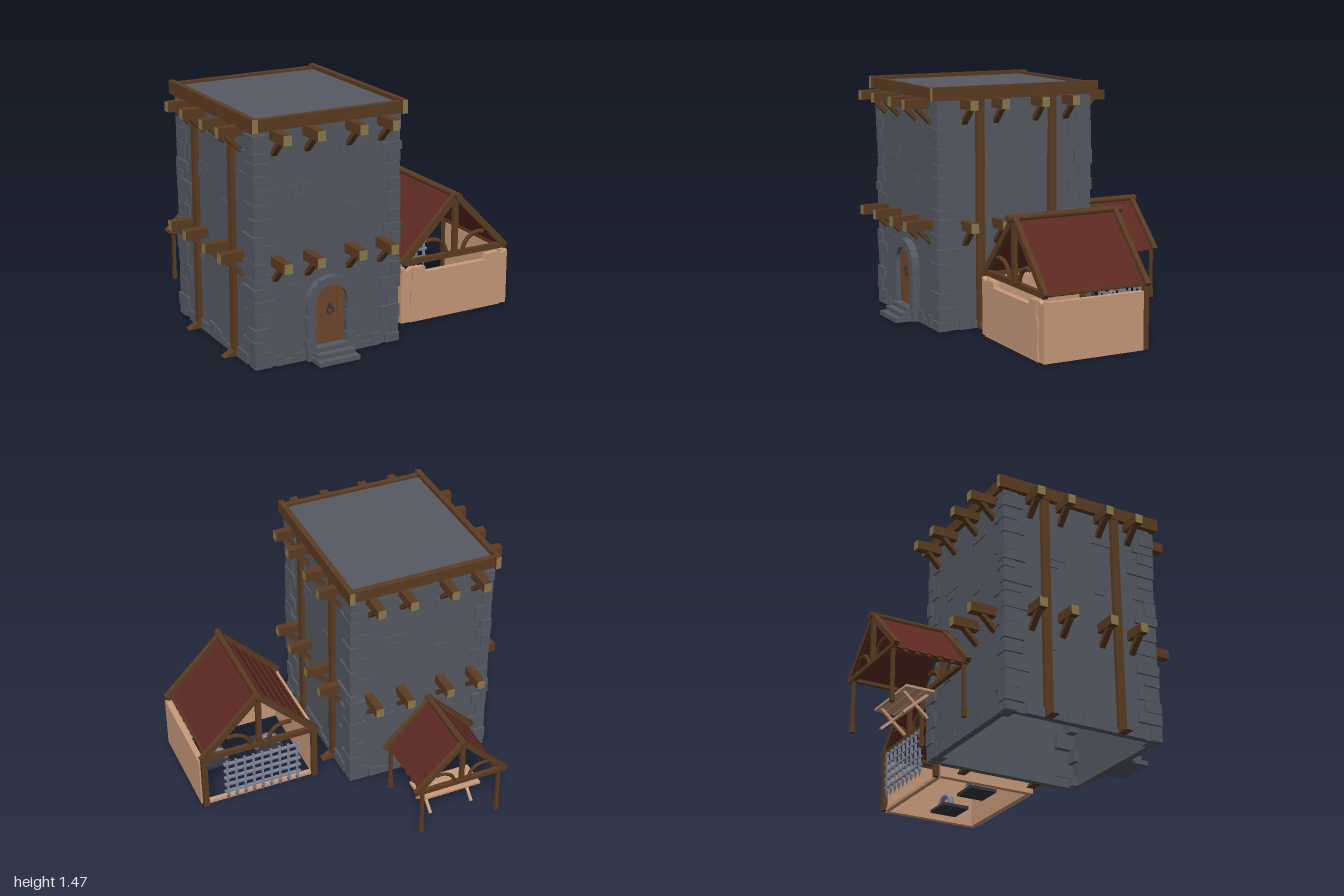
import * as THREE from 'three';

const paint = (name, color) => Object.assign(new THREE.MeshStandardMaterial({ color }), { name });
const M = {
  stone: paint('slate stone', 0x565a62),
  wood: paint('dark timber', 0x5c3c22),
  end: paint('cut timber end', 0x8c7b4c),
  door: paint('door wood', 0x70482a),
  red: paint('red shingle', 0x5e2a22),
  tan: paint('pale board', 0xc99b7b),
  steel: paint('steel', 0x80869a),
  iron: paint('black iron', 0x35363c),
};
const V = (x, y, z) => new THREE.Vector3(x, y, z);
let seed = 11;
const rnd = (a, b) => { seed = (seed * 16807) % 2147483647; return a + (b - a) * seed / 2147483647; };

function add(parent, name, geo, mat, x = 0, y = 0, z = 0) {
  const m = new THREE.Mesh(geo, mat);
  m.name = name;
  m.position.set(x, y, z);
  parent.add(m);
  return m;
}
const box = (p, name, mat, w, h, d, x, y, z) => add(p, name, new THREE.BoxGeometry(w, h, d), mat, x, y, z);
function bar(p, name, mat, a, b, w, d) {
  const dir = b.clone().sub(a);
  const m = box(p, name, mat, w, dir.length(), d, 0, 0, 0);
  m.position.copy(a).add(b).multiplyScalar(0.5);
  m.quaternion.setFromUnitVectors(V(0, 1, 0), dir.normalize());
  return m;
}
function plate(p, name, mat, pts, depth, z) {
  const s = new THREE.Shape(pts.map(q => new THREE.Vector2(q[0], q[1])));
  return add(p, name, new THREE.ExtrudeGeometry(s, { depth, bevelEnabled: false }), mat, 0, 0, z);
}
function group(parent, name, x = 0, y = 0, z = 0, ry = 0) {
  const g = new THREE.Group();
  g.name = name;
  g.position.set(x, y, z);
  g.rotation.y = ry;
  parent.add(g);
  return g;
}

// One tower face, outward is local +z
function towerSide(tower, name, angle, half, dist, reach, posts) {
  const g = group(tower, name, 0, 0, 0, angle);
  box(g, 'wall', M.stone, half * 2, 1.4, 0.03, 0, 0.7, dist - 0.015);
  for (const y of [1.36, 0.635]) for (const x of [-0.34, -0.133, 0.133, 0.34]) {
    box(g, 'joist', [M.wood, M.wood, M.wood, M.wood, M.end, M.wood], 0.05, 0.058, reach - dist + 0.02, x, y, (reach + dist - 0.02) / 2);
    bar(g, 'strut', M.wood, V(x, y - 0.115, dist), V(x, y - 0.025, dist + 0.09), 0.035, 0.025);
  }
  const bricks = [[-0.22, 1.03], [-0.14, 1.03], [-0.19, 0.98], [0.12, 1.215], [0.2, 1.215], [0.13, 0.88], [-0.22, 0.45]];
  for (const [x, y] of bricks) box(g, 'wallBrick', M.stone, 0.076, 0.046, 0.016, x, y, dist);
  for (let x = -half + 0.12; x < half - 0.12;) {
    const w = rnd(0.05, 0.1), h = rnd(0.03, 0.09);
    box(g, 'footingStone', M.stone, w - 0.004, h, 0.026, x + w / 2, h / 2, dist);
    x += w;
  }
  if (posts) for (const x of [-0.243, 0.243]) {
    box(g, 'post', M.wood, 0.05, 1.4, 0.03, x, 0.7, dist + 0.012);
    const foot = plate(g, 'postFoot', M.wood, [[0, 0], [0.09, 0], [0.02, 0.04], [0, 0.04]], 0.05, 0);
    foot.rotation.y = -Math.PI / 2;
    foot.position.set(x + 0.025, 0, dist);
  }
  return g;
}

function buildDoor(front, z) {
  const g = group(front, 'doorway', 0, 0, z);
  const spring = 0.34, r = 0.105;
  const arch = [[-r, 0.06], [r, 0.06]];
  for (let i = 0; i <= 12; i++) arch.push([r * Math.cos(i * Math.PI / 12), spring + r * Math.sin(i * Math.PI / 12)]);
  plate(g, 'doorBacking', M.iron, arch, 0.008, 0);
  // Planks follow the arch
  for (let i = 0; i < 4; i++) {
    const a = -0.1 + i * 0.05 + 0.002, b = a + 0.046, pts = [[a, 0.08], [b, 0.08]];
    for (let k = 0; k <= 4; k++) {
      const x = b + (a - b) * k / 4;
      pts.push([x, spring + Math.sqrt(Math.max(0, r * r - x * x))]);
    }
    plate(g, 'doorPlank', M.door, pts, 0.012, 0.006);
  }
  add(g, 'doorRing', new THREE.TorusGeometry(0.02, 0.005, 6, 14), M.iron, 0, 0.285, 0.026);
  box(g, 'ringPlate', M.iron, 0.02, 0.03, 0.01, 0, 0.308, 0.02);
  // Stone surround
  for (let i = 0; i < 9; i++) {
    const t = (i + 0.5) * Math.PI / 9;
    const m = box(g, 'archStone', M.stone, 0.05, 0.052, 0.05, 0.128 * Math.cos(t), spring + 0.128 * Math.sin(t), 0.022);
    m.rotation.z = t;
  }
  for (const s of [-1, 1]) for (let i = 0; i < 5; i++)
    box(g, 'jambStone', M.stone, 0.046 + (i % 2) * 0.012, 0.066, 0.05, s * 0.128, 0.034 + i * 0.068, 0.022);
  for (let i = 0; i < 3; i++)
    box(g, 'step', M.stone, 0.22 + (2 - i) * 0.02, 0.028, 0.15 - i * 0.04, 0, 0.014 + i * 0.028, (0.15 - i * 0.04) / 2);
}

function buildTower(root) {
  const t = group(root, 'tower', -0.4, 0, 0.222);
  const hx = 0.456, hz = 0.506;
  const front = towerSide(t, 'frontWall', 0, hx, hz, 0.678, false);
  towerSide(t, 'backWall', Math.PI, hx, hz, 0.675, false);
  towerSide(t, 'leftWall', Math.PI / 2, hz, hx, 0.6, true);
  towerSide(t, 'rightWall', -Math.PI / 2, hz, hx, 0.6, true);
  buildDoor(front, hz);
  box(t, 'flatRoof', M.stone, hx * 2, 0.05, hz * 2, 0, 1.415, 0);
  // Rim beams
  for (const s of [-1, 1]) {
    box(t, 'rimBeam', M.wood, 0.94, 0.07, 0.036, 0, 1.42, s * 0.518);
    box(t, 'rimBeam', [M.wood, M.wood, M.wood, M.wood, M.end, M.end], 0.034, 0.08, 1.11, s * 0.472, 1.424, 0);
  }
  // Corner stones
  for (const sx of [-1, 1]) for (const sz of [-1, 1]) {
    for (let y = 0, i = 0; y < 1.36; i++) {
      const h = Math.min(rnd(0.05, 0.11), 1.385 - y);
      const lx = i % 2 ? rnd(0.05, 0.08) : rnd(0.09, 0.13), lz = i % 2 ? rnd(0.12, 0.2) : rnd(0.07, 0.12);
      const o = rnd(0.008, 0.019);
      box(t, 'cornerStone', M.stone, lx, h - 0.005, lz, sx * (hx + o - lx / 2), y + h / 2, sz * (hz + o - lz / 2));
      y += h;
    }
  }
}

// Scalloped shingle slope, mirrored over a ridge along z
function shingles(parent, len, run, rise, ridgeY, rows) {
  const L = Math.hypot(run, rise), c = run / L, s = rise / L, n = Math.round(len / 0.07), w = len / n;
  for (const turn of [0, Math.PI]) {
    const half = group(parent, 'roofSlope', 0, ridgeY, 0, turn);
    const slope = group(half, 'shingleRows');
    slope.quaternion.setFromRotationMatrix(new THREE.Matrix4().makeBasis(V(0, 0, -1), V(-c, s, 0), V(s, c, 0)));
    for (let r = 0; r < rows; r++) {
      const top = -r * L / rows, low = top - L / rows;
      const pts = [[len / 2, top + 0.005], [-len / 2, top + 0.005]];
      for (let i = 0; i < n; i++) for (const [f, d] of [[0, 0.004], [0.25, -0.01], [0.5, -0.014], [0.75, -0.01]])
        pts.push([-len / 2 + (i + f) * w, low + d]);
      pts.push([len / 2, low + 0.004]);
      const m = plate(slope, 'shingleRow', M.red, pts, 0.012, 0);
      m.position.set(0, top * Math.cos(0.1) - top, -top * 0.1);
      m.rotation.x = 0.1;
    }
  }
}

// Gable truss in the xy plane
function truss(p, half, y0, y1, z, t) {
  const g = group(p, 'truss', 0, 0, z);
  box(g, 'tieBeam', M.wood, half * 2 - 0.06, t, 0.028, 0, y0 + t / 2, 0);
  box(g, 'kingPost', M.wood, t, y1 - y0, 0.024, 0, (y0 + y1) / 2, 0);
  for (const s of [-1, 1]) {
    bar(g, 'rafter', M.wood, V(s * (half - 0.01), y0 + 0.01, 0), V(0, y1, 0), t * 1.2, 0.03);
    const brace = add(g, 'curvedBrace', new THREE.TorusGeometry(half * 0.3, t * 0.42, 5, 10, Math.PI * 0.6), M.wood, s * half * 0.45, y0 + t / 2, 0);
    brace.rotation.y = s > 0 ? Math.PI : 0;
  }
}

function ridge(p, y, len) {
  const g = add(p, 'ridgeBeam', new THREE.CylinderGeometry(0.023, 0.023, len, 6), M.wood, 0, y, 0);
  g.rotation.x = Math.PI / 2;
}

function buildShed(root) {
  const g = group(root, 'shed', 0.605, 0, 0.185);
  shingles(g, 0.63, 0.345, 0.365, 0.742, 6);
  truss(g, 0.385, 0.365, 0.755, 0.328, 0.034);
  truss(g, 0.385, 0.365, 0.755, -0.328, 0.034);
  ridge(g, 0.757, 0.75);
  // Board walls with an uneven top
  const half = [[0.385, 0], [0.385, 0.35], [0.35, 0.33], [0.315, 0.35], [0.225, 0.345], [0.215, 0.31]];
  plate(g, 'frontWall', M.tan, [...half, ...half.map(([x, y]) => [-x, y]).reverse()], 0.03, 0.315);
  const inner = [[0.33, 0], [0.32, 0.08], [0.325, 0.2], [0.31, 0.27], [0.315, 0.345], [0.225, 0.345], [0.215, 0.31]];
  plate(g, 'frontPanel', M.tan, [...inner, ...inner.map(([x, y]) => [-x, y]).reverse()], 0.009, 0.345);
  for (const s of [-1, 1]) {
    box(g, 'sideWall', M.tan, 0.035, 0.345, 0.62, s * 0.367, 0.1725, 0.012);
    box(g, 'rearPost', M.wood, 0.035, 0.37, 0.03, s * 0.36, 0.185, -0.322);
    box(g, 'eaveBeam', M.wood, 0.025, 0.025, 0.65, s * 0.335, 0.378, 0);
  }
  box(g, 'sill', M.tan, 0.7, 0.02, 0.03, 0, 0.01, -0.3);
  // Hearths inside
  for (const s of [-1, 1]) {
    box(g, 'hearthSlab', M.iron, 0.18, 0.02, 0.18, s * 0.18, 0.02, 0.06);
    add(g, 'hearthArch', new THREE.TorusGeometry(0.075, 0.018, 6, 14, Math.PI), M.steel, s * 0.18, 0.03, 0.03);
  }
  // Raised spiked gate
  const gate = group(g, 'gate', 0, 0, -0.368);
  for (let i = 0; i < 9; i++) {
    const x = -0.228 + i * 0.057;
    box(gate, 'gateBar', M.steel, 0.014, 0.27, 0.012, x, 0.215, 0);
    const tip = add(gate, 'gateSpike', new THREE.ConeGeometry(0.014, 0.05, 4), M.steel, x, 0.058, 0);
    tip.rotation.x = Math.PI;
  }
  for (let i = 0; i < 5; i++) box(gate, 'gateRail', M.steel, 0.5, 0.013, 0.018, 0, 0.11 + i * 0.054, 0);
}

function buildAwning(root) {
  const g = group(root, 'awning', -0.4, 0, -0.657);
  shingles(g, 0.43, 0.262, 0.285, 0.61, 5);
  for (const s of [-1, 1]) {
    truss(g, 0.31, 0.315, 0.62, s * 0.222, 0.026);
    for (const x of [-0.255, 0.255]) {
      box(g, 'post', M.wood, 0.02, 0.32, 0.018, x, 0.16, s * 0.22);
      box(g, 'postBase', M.wood, 0.026, 0.06, 0.024, x, 0.03, s * 0.22);
    }
    box(g, 'eaveBeam', M.wood, 0.02, 0.02, 0.44, s * 0.25, 0.322, 0);
  }
  ridge(g, 0.622, 0.5);
  // Trestle table
  const t = group(g, 'table', 0, 0, -0.022);
  for (let i = -1; i <= 1; i++) box(t, 'tableBoard', M.tan, 0.4, 0.014, 0.056, 0, 0.142, i * 0.059);
  for (const x of [-0.14, 0.14]) for (const s of [-1, 1])
    bar(t, 'tableLeg', M.tan, V(x + s * 0.008, 0.003, s * 0.08), V(x + s * 0.008, 0.136, -s * 0.07), 0.016, 0.016);
  box(t, 'tableStretcher', M.tan, 0.28, 0.012, 0.012, 0, 0.07, 0);
}

export function createModel() {
  const root = new THREE.Group();
  root.name = 'watchtower';
  buildTower(root);
  buildShed(root);
  buildAwning(root);
  return root;
}
